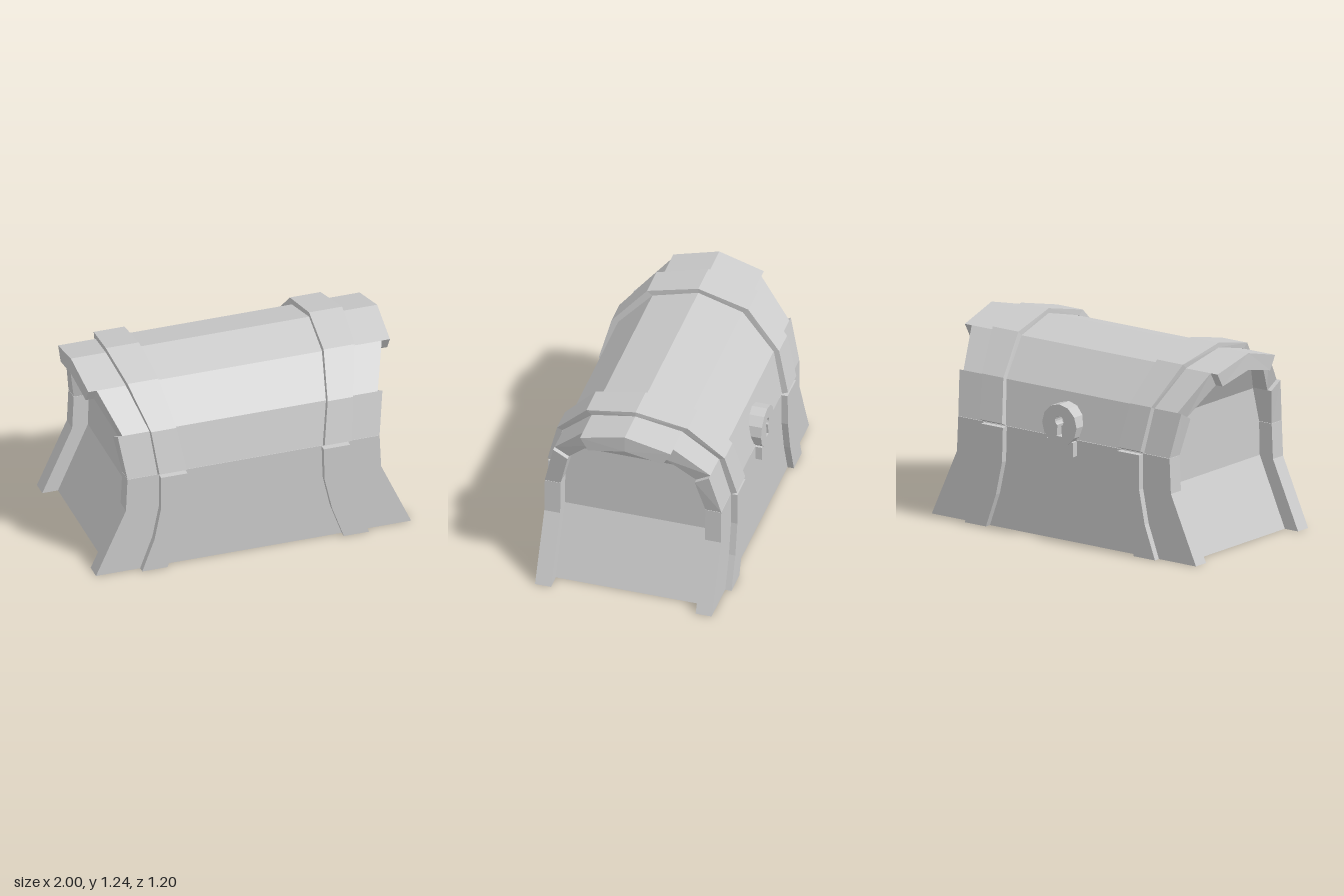
import * as THREE from 'three';

const material = new THREE.MeshStandardMaterial({ color: 0xcccccc, flatShading: true, side: THREE.DoubleSide });

// Closed solid through a row of four-cornered sections.
function loft(sections) {
  const tris = [];
  const quad = (a, b, c, d) => tris.push([a, b, c], [a, c, d]);
  for (let i = 0; i + 1 < sections.length; i++) {
    const s = sections[i], t = sections[i + 1];
    for (let k = 0; k < 4; k++) quad(s[k], s[(k + 1) % 4], t[(k + 1) % 4], t[k]);
  }
  const last = sections[sections.length - 1];
  quad(sections[0][3], sections[0][2], sections[0][1], sections[0][0]);
  quad(last[0], last[1], last[2], last[3]);
  // turn the faces outwards if the sections ran the other way
  let volume = 0;
  for (const [a, b, c] of tris) volume += a.dot(b.clone().cross(c));
  if (volume < 0) tris.forEach((t) => t.reverse());
  const geometry = new THREE.BufferGeometry().setFromPoints(tris.flat());
  geometry.computeVertexNormals();
  return geometry;
}

// Section spanning x0..x1 between an outer and an inner [z, y] point.
function span(x0, x1, outer, inner) {
  const p = (x, [z, y]) => new THREE.Vector3(x, y, z);
  return [p(x0, outer), p(x1, outer), p(x1, inner), p(x0, inner)];
}

const mirrorZ = ([z, y]) => [-z, y];

// Half profiles from the seam to the ridge, as [z, y]
const LID_OUT = [[0.555, 0.64], [0.49, 0.91], [0.285, 1.13], [0, 1.205]];
const LID_IN = [[0.455, 0.64], [0.4, 0.86], [0.235, 1.045], [0, 1.1]];
const STRAP_OUT = [[0.595, 0.66], [0.527, 0.925], [0.318, 1.16], [0, 1.235]];
const STRAP_IN = [[0.558, 0.642], [0.494, 0.912], [0.285, 1.132], [0, 1.205]];

export function createModel() {
  const chest = new THREE.Group();
  chest.name = 'chest';
  const add = (name, geometry) => {
    const mesh = new THREE.Mesh(geometry, material);
    mesh.name = name;
    chest.add(mesh);
    return mesh;
  };

  // Recessed core: floor and end walls, narrowing at the waist, arched on top
  const core = [
    [0, 0.9, 0.455], [0.43, 0.71, 0.455], [0.64, 0.705, 0.455], [0.855, 0.7, 0.402],
    [1.045, 0.81, 0.236], [1.1, 0.845, 0.01],
  ];
  add('endWalls', loft(core.map(([y, x, z]) => span(-x, x, [z, y], [-z, y]))));

  for (const side of [1, -1]) {
    const face = side > 0 ? 'front' : 'back';
    const flip = (p) => (side > 0 ? p : mirrorZ(p));

    // Flared body panel
    const panel = [[0, 1], [0.42, 0.81], [0.638, 0.8]];
    add(face + 'Panel', loft(panel.map(([y, x]) => span(-x, x, flip([0.555, y]), flip([0.455, y])))));

    // Three lid planks, each cut to its own length
    const lengths = [[0.8, 0.84], [0.81, 0.905], [0.957, 0.972]];
    lengths.forEach((ends, i) => {
      add(face + 'LidPlank', loft(ends.map((x, j) =>
        span(-x, x, flip(LID_OUT[i + j]), flip(LID_IN[i + j])))));
    });

    for (const s of [1, -1]) {
      // Body strap
      const low = [[0, 0.56, 0.72], [0.21, 0.485, 0.642], [0.42, 0.438, 0.6], [0.635, 0.432, 0.6]];
      add(face + 'BodyStrap', loft(low.map(([y, a, b]) =>
        span(s * a, s * b, flip([0.595, y]), flip([0.545, y])))));

      // Lid strap
      const widths = [[0.438, 0.61], [0.48, 0.64], [0.525, 0.72], [0.54, 0.75]];
      add(face + 'LidStrap', loft(widths.map(([a, b], i) =>
        span(s * a, s * b, flip(STRAP_OUT[i]), flip(STRAP_IN[i])))));
    }
  }

  // Round lock plate with a keyhole
  const plate = new THREE.Shape();
  plate.absarc(0, 0, 0.13, 0, Math.PI * 2);
  const keyhole = new THREE.Path();
  keyhole.moveTo(-0.02, -0.07);
  keyhole.lineTo(0.02, -0.07);
  keyhole.lineTo(0.014, 0);
  keyhole.absarc(0, 0.025, 0.032, -1.1, Math.PI + 1.1);
  keyhole.lineTo(-0.014, 0);
  keyhole.closePath();
  plate.holes.push(keyhole);
  const lock = add('lockPlate', new THREE.ExtrudeGeometry(plate, { depth: 0.12, bevelEnabled: false, curveSegments: 6 }));
  lock.position.set(0, 0.725, -0.6);

  // Block under the lock
  const hasp = add('lockBase', new THREE.BoxGeometry(0.2, 0.09, 0.06));
  hasp.position.set(0, 0.585, -0.567);

  return chest;
}
